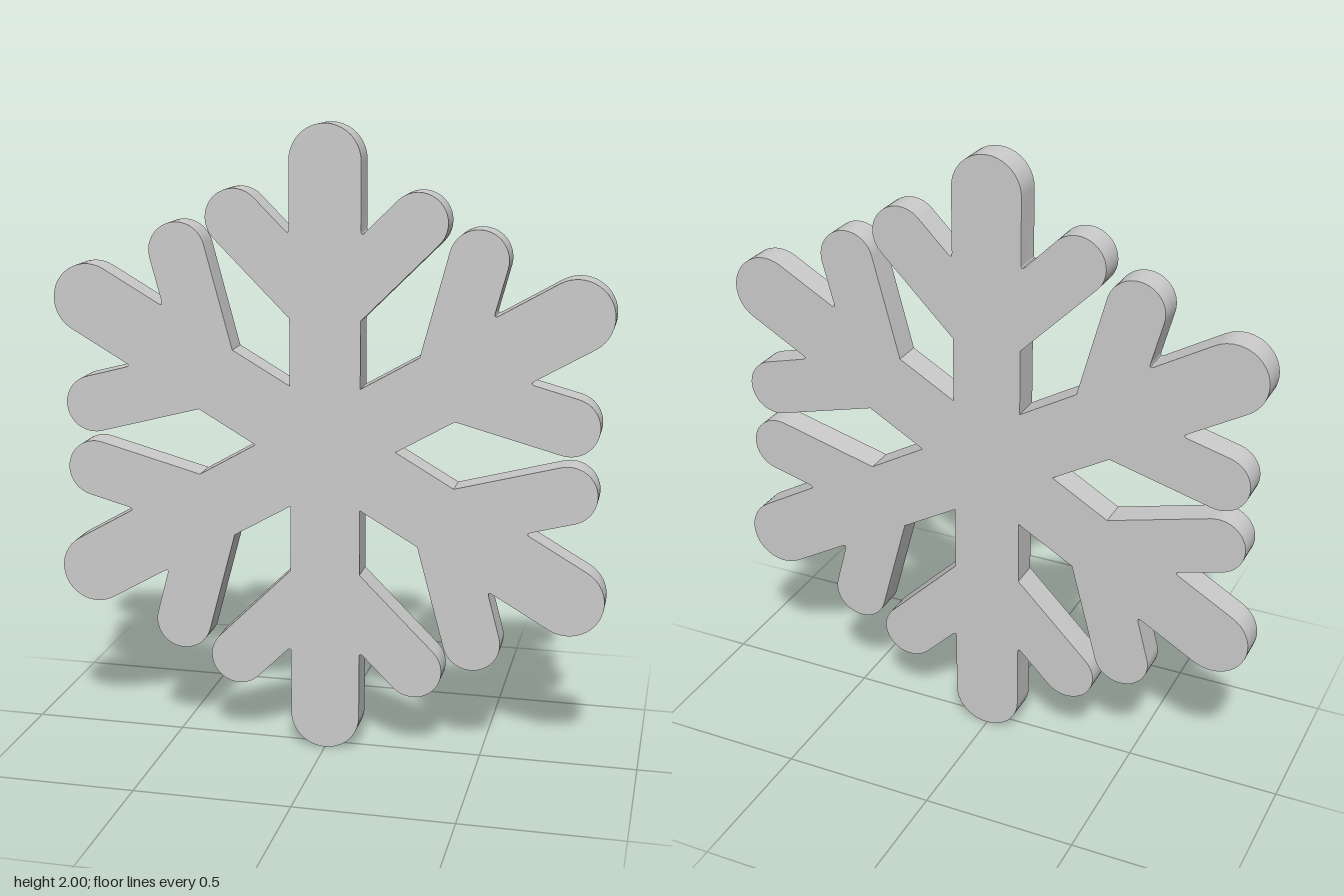
import * as THREE from 'three';
import { toCreasedNormals } from 'three/addons/utils/BufferGeometryUtils.js';

const HALF = 0.112;        // half width of a main arm
const TIP = 1 - HALF;      // centre of the rounded arm tip
const DEPTH = 0.094;
const BRANCH = { x: 0.287, y: 0.71, r: 0.091 }; // centre of a rounded side-branch end

// Points of a clockwise half circle starting at the given angle (degrees)
function halfCircle(cx, cy, r, startDeg, steps = 20) {
  return Array.from({ length: steps + 1 }, (_, i) => {
    const a = THREE.MathUtils.degToRad(startDeg - (180 * i) / steps);
    return new THREE.Vector2(cx + r * Math.cos(a), cy + r * Math.sin(a));
  });
}

// Outline of one upright arm, from its left valley clockwise to its right elbow
function armOutline() {
  const { x, y, r } = BRANCH;
  const offset = r * Math.SQRT2;
  const elbowY = y - x + HALF - offset;
  const notchY = y - x + HALF + offset;
  // Slightly eased notch between the arm and a branch, from the branch to the arm
  const notch = new THREE.QuadraticBezierCurve(
    new THREE.Vector2(HALF + 0.013, notchY + 0.013),
    new THREE.Vector2(HALF, notchY),
    new THREE.Vector2(HALF, notchY + 0.018)
  ).getPoints(4);
  const mirrored = notch.map((p) => new THREE.Vector2(-p.x, p.y));
  return [
    new THREE.Vector2(-HALF, HALF * Math.sqrt(3)),
    new THREE.Vector2(-HALF, elbowY),
    ...halfCircle(-x, y, r, 225),
    ...mirrored,
    ...halfCircle(0, TIP, HALF, 180),
    ...notch.reverse(),
    ...halfCircle(x, y, r, 135),
    new THREE.Vector2(HALF, elbowY),
  ];
}

export function createModel() {
  const group = new THREE.Group();
  group.name = 'snowflake';

  // Six arms joined into one outline
  const arm = armOutline();
  const centre = new THREE.Vector2();
  const outline = [];
  for (let i = 0; i < 6; i++) {
    for (const p of arm) outline.push(p.clone().rotateAround(centre, (-i * Math.PI) / 3));
  }

  // Flat plate with sharp rims and smooth rounded ends
  const plate = new THREE.ExtrudeGeometry(new THREE.Shape(outline), {
    depth: DEPTH,
    bevelEnabled: false,
  });
  plate.translate(0, 1, -DEPTH / 2);

  const mesh = new THREE.Mesh(
    toCreasedNormals(plate, Math.PI / 6),
    new THREE.MeshStandardMaterial({ color: 0xcccccc })
  );
  mesh.name = 'snowflakePlate';
  group.add(mesh);
  return group;
}
